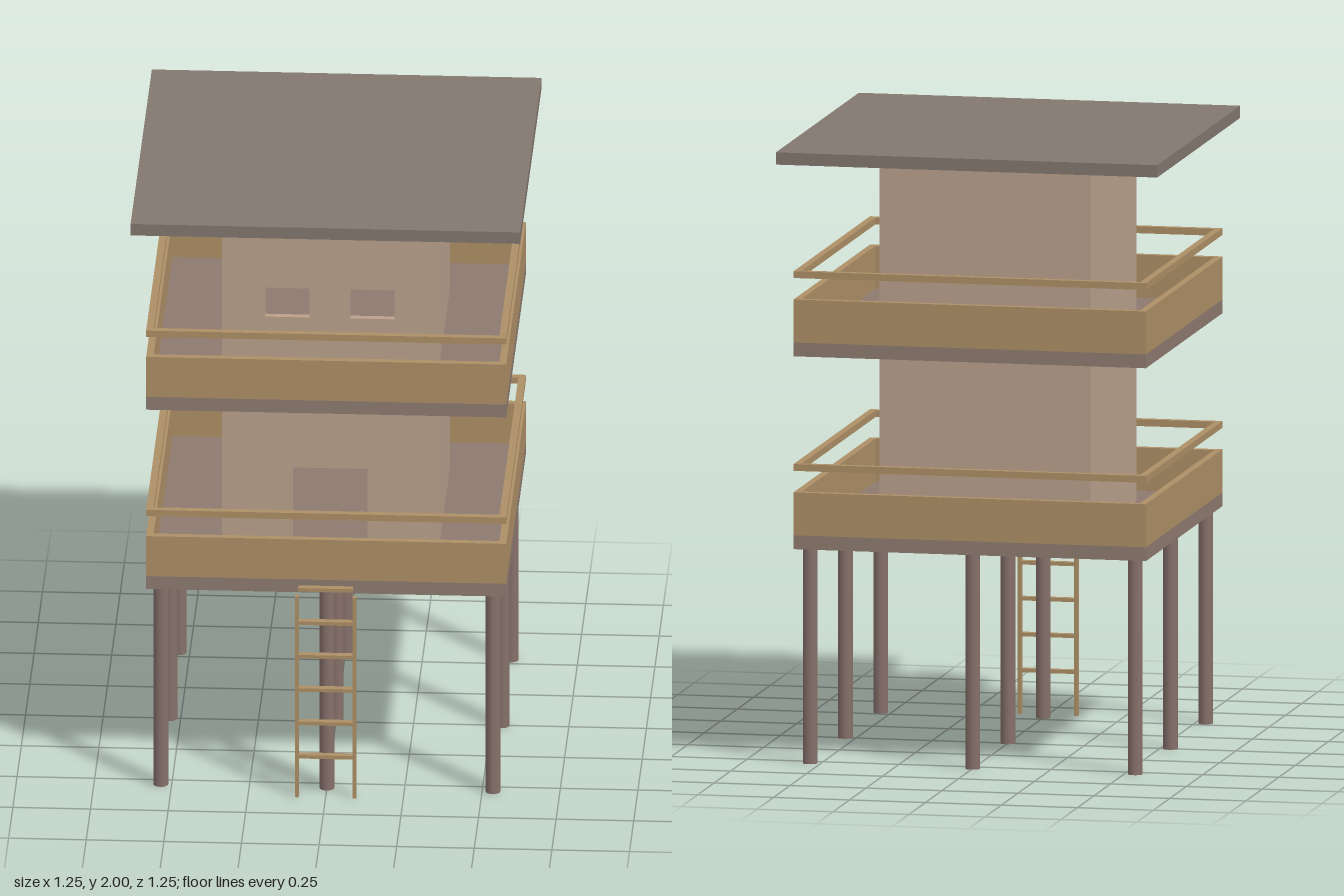
import * as THREE from 'three';

const mat = (color) => new THREE.MeshStandardMaterial({ color });

// Rectangle outline, usable as a shape or as a hole
function rect(Type, x0, y0, x1, y1) {
  const r = new Type();
  r.moveTo(x0, y0);
  r.lineTo(x1, y0);
  r.lineTo(x1, y1);
  r.lineTo(x0, y1);
  r.closePath();
  return r;
}

export function createModel() {
  const model = new THREE.Group();
  model.name = 'watchtower';
  const wallMat = mat(0xb9a08c);
  const slabMat = mat(0x8d7a70);
  const woodMat = mat(0xad8f66);
  const postMat = mat(0x86706a);
  const roofMat = mat(0x82786e);

  function add(parent, name, geometry, material, x = 0, y = 0, z = 0) {
    const mesh = new THREE.Mesh(geometry, material);
    mesh.name = name;
    mesh.position.set(x, y, z);
    parent.add(mesh);
    return mesh;
  }
  const box = (parent, name, m, w, h, d, x, y, z) =>
    add(parent, name, new THREE.BoxGeometry(w, h, d), m, x, y, z);

  // Square hollow ring standing on height y
  function ring(parent, name, half, thick, height, y, m) {
    const shape = rect(THREE.Shape, -half, -half, half, half);
    const inner = half - thick;
    shape.holes.push(rect(THREE.Path, -inner, -inner, inner, inner));
    const g = new THREE.ExtrudeGeometry(shape, { depth: height, bevelEnabled: false });
    g.rotateX(-Math.PI / 2);
    add(parent, name, g, m, 0, y, 0);
  }

  // Storey: deck, parapet, handrail and hollow cabin with openings in the front
  const HALF = 0.58, CABIN = 0.348, WALL = 0.023, DECK = 0.045, CABIN_H = 0.585;
  function storey(name, y, front) {
    const group = new THREE.Group();
    group.name = name;
    group.position.y = y;
    model.add(group);
    box(group, 'deck', slabMat, HALF * 2, DECK, HALF * 2, 0, DECK / 2, 0);
    ring(group, 'parapet', HALF, 0.023, 0.14, DECK, woodMat);
    ring(group, 'handrail', HALF, 0.023, 0.022, 0.255, woodMat);

    const g = new THREE.ExtrudeGeometry(front, { depth: WALL, bevelEnabled: false });
    add(group, 'frontWall', g, wallMat, 0, DECK, CABIN - WALL);
    const cy = DECK + CABIN_H / 2;
    box(group, 'backWall', wallMat, CABIN * 2, CABIN_H, WALL, 0, cy, -CABIN + WALL / 2);
    for (const s of [-1, 1]) {
      box(group, s > 0 ? 'leftWall' : 'rightWall', wallMat,
        WALL, CABIN_H, (CABIN - WALL) * 2, s * (CABIN - WALL / 2), cy, 0);
    }
  }

  // Lower front wall: the doorway is open down to the deck
  const doorWall = new THREE.Shape();
  [[-CABIN, 0], [-0.12, 0], [-0.12, 0.465], [0.12, 0.465], [0.12, 0], [CABIN, 0],
    [CABIN, CABIN_H], [-CABIN, CABIN_H]].forEach(([x, y], i) =>
    i ? doorWall.lineTo(x, y) : doorWall.moveTo(x, y));
  doorWall.closePath();

  // Upper front wall: two windows
  const windowWall = rect(THREE.Shape, -CABIN, 0, CABIN, CABIN_H);
  for (const x of [-0.21, 0.065]) {
    windowWall.holes.push(rect(THREE.Path, x, 0.19, x + 0.143, 0.47));
  }

  storey('lowerStorey', 0.702, doorWall);
  storey('upperStorey', 1.33, windowWall);

  // Roof slab
  box(model, 'roof', roofMat, 1.255, 0.04, 1.255, 0, 1.98, 0);

  // Posts in a three by three grid
  const postGeo = new THREE.CylinderGeometry(0.024, 0.024, 0.702, 16);
  for (const x of [-0.535, 0, 0.535]) {
    for (const z of [-0.535, 0, 0.535]) add(model, 'post', postGeo, postMat, x, 0.351, z);
  }

  // Ladder in front of the deck
  const ladder = new THREE.Group();
  ladder.name = 'ladder';
  ladder.position.z = 0.607;
  model.add(ladder);
  for (const s of [-1, 1]) {
    box(ladder, 'ladderRail', woodMat, 0.012, 0.702, 0.023, s * 0.093, 0.351, 0);
  }
  for (let i = 0; i < 6; i++) {
    box(ladder, 'rung', woodMat, 0.176, 0.012, 0.023, 0, 0.142 + i * 0.117, 0);
  }
  return model;
}
